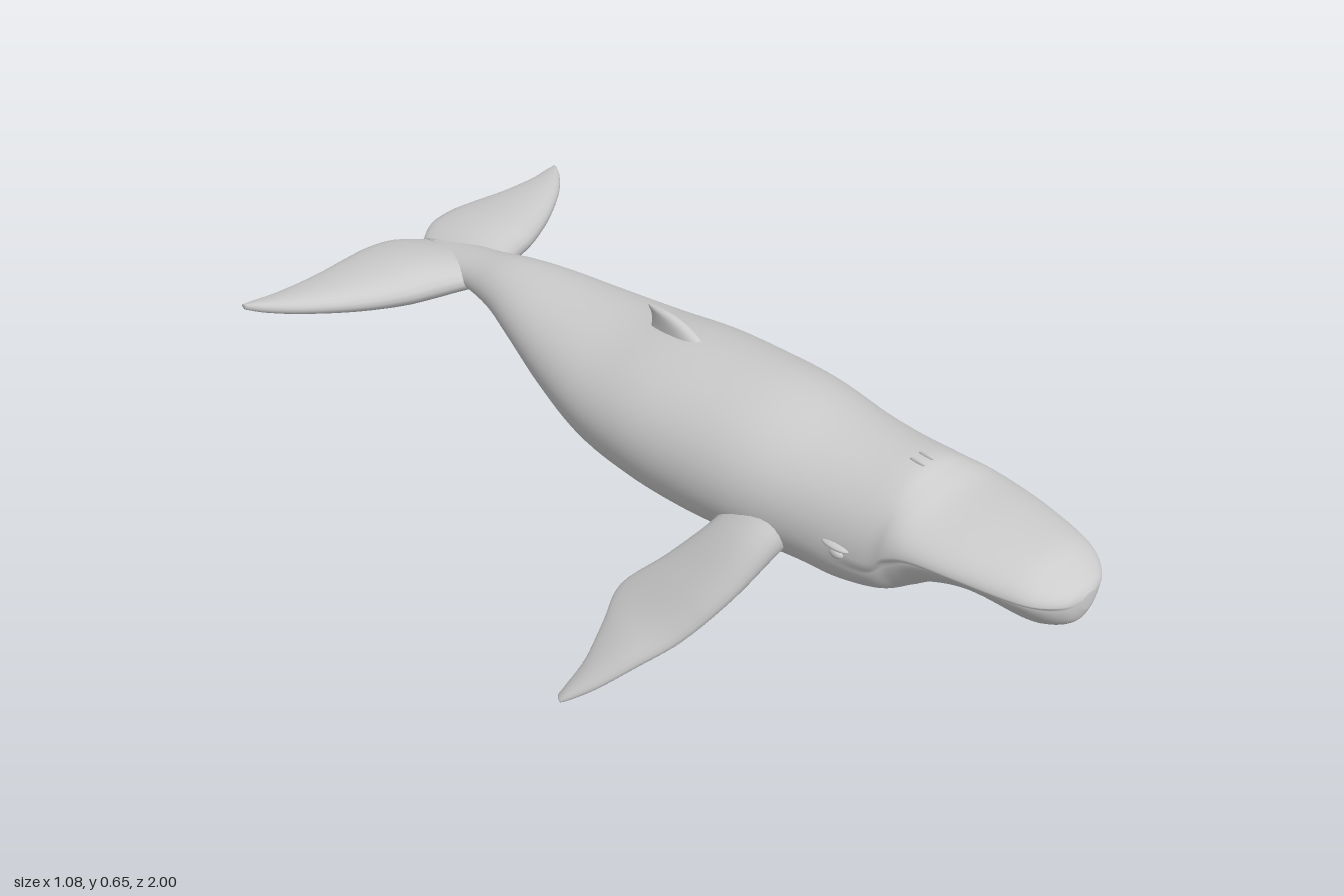
import * as THREE from 'three';

const grey = () => new THREE.MeshStandardMaterial({ color: 0xcccccc });
const V = (x, y, z) => new THREE.Vector3(x, y, z);

// Smoothly subdivide a table of station rows (Catmull-Rom per column)
function refine(rows, steps) {
  const out = [];
  const n = rows.length - 1;
  const cr = (a, b, c, d, t) => b + 0.5 * t * (c - a + t * (2 * a - 5 * b + 4 * c - d + t * (3 * (b - c) + d - a)));
  for (let k = 0; k <= n * steps; k++) {
    const i = Math.min(Math.floor(k / steps), n - 1);
    const t = k / steps - i;
    const [a, b, c, d] = [rows[Math.max(i - 1, 0)], rows[i], rows[i + 1], rows[Math.min(i + 2, n)]];
    out.push(b.map((_, j) => cr(a[j], b[j], c[j], d[j], t)));
  }
  return out;
}

// Skin closed rings into a capped solid, facing outwards
function loft(name, rings) {
  const m = rings[0].length;
  const pts = rings.flat();
  const index = [];
  for (let i = 0; i < rings.length - 1; i++) {
    for (let j = 0; j < m; j++) {
      const a = i * m + j, b = i * m + (j + 1) % m;
      index.push(a, b, a + m, b, b + m, a + m);
    }
  }
  for (const end of [0, rings.length - 1]) {
    const c = V(0, 0, 0);
    rings[end].forEach(p => c.addScaledVector(p, 1 / m));
    const ci = pts.push(c) - 1;
    for (let j = 0; j < m; j++) {
      const a = end * m + j, b = end * m + (j + 1) % m;
      if (end === 0) index.push(ci, b, a); else index.push(ci, a, b);
    }
  }
  let volume = 0;
  const cross = V(0, 0, 0);
  for (let i = 0; i < index.length; i += 3) {
    volume += pts[index[i]].dot(cross.crossVectors(pts[index[i + 1]], pts[index[i + 2]]));
  }
  if (volume < 0) index.reverse();
  const geo = new THREE.BufferGeometry().setFromPoints(pts);
  geo.setIndex(index);
  geo.computeVertexNormals();
  const mesh = new THREE.Mesh(geo, grey());
  mesh.name = name;
  return mesh;
}

// Foil-section blade: rows of leading point, trailing point, thickness
function blade(name, rows, steps = 5, sides = 24) {
  const st = refine(rows, steps);
  const mid = r => V((r[0] + r[3]) / 2, (r[1] + r[4]) / 2, (r[2] + r[5]) / 2);
  const rings = st.map((r, i) => {
    const lead = V(r[0], r[1], r[2]);
    const chord = V(r[3], r[4], r[5]).sub(lead);
    const span = mid(st[Math.min(i + 1, st.length - 1)]).sub(mid(st[Math.max(i - 1, 0)]));
    const normal = chord.clone().cross(span).normalize();
    return Array.from({ length: sides }, (_, k) => {
      const a = k / sides * Math.PI * 2;
      return lead.clone().addScaledVector(chord, (1 - Math.cos(a)) / 2)
        .addScaledVector(normal, r[6] / 2 * Math.sin(a) * (1 + 0.35 * Math.cos(a)));
    });
  });
  return loft(name, rings);
}

function makeBody() {
  // z, top, bottom, half width, height of widest line, lower exponent, lip inset
  const rows = [
    [0.998, 0.492, 0.455, 0.02, 0.482, 1.9, 0.02],
    [0.985, 0.508, 0.422, 0.062, 0.484, 1.8, 0.04],
    [0.95, 0.528, 0.397, 0.102, 0.487, 1.6, 0.06],
    [0.9, 0.547, 0.383, 0.126, 0.491, 1.45, 0.06],
    [0.8, 0.560, 0.398, 0.151, 0.497, 1.4, 0.06],
    [0.7, 0.570, 0.372, 0.168, 0.496, 1.6, 0.06],
    [0.645, 0.588, 0.340, 0.175, 0.475, 1.8, 0.05],
    [0.6, 0.602, 0.318, 0.179, 0.435, 1.95, 0.03],
    [0.5, 0.602, 0.290, 0.184, 0.430, 2, 0],
    [0.4, 0.607, 0.283, 0.192, 0.435, 2, 0],
    [0.25, 0.624, 0.270, 0.213, 0.440, 2, 0],
    [0.1, 0.623, 0.260, 0.222, 0.440, 2, 0],
    [-0.05, 0.614, 0.268, 0.223, 0.445, 2, 0],
    [-0.2, 0.595, 0.295, 0.208, 0.450, 2, 0],
    [-0.35, 0.590, 0.348, 0.172, 0.470, 1.9, 0],
    [-0.5, 0.590, 0.418, 0.126, 0.500, 1.8, 0],
    [-0.6, 0.584, 0.455, 0.093, 0.515, 1.8, 0],
    [-0.7, 0.566, 0.474, 0.070, 0.515, 1.9, 0],
    [-0.8, 0.548, 0.480, 0.062, 0.512, 2, 0],
    [-0.88, 0.532, 0.492, 0.045, 0.512, 2, 0],
    [-0.935, 0.517, 0.507, 0.012, 0.512, 2, 0],
  ];
  const sides = 80;
  return loft('body', refine(rows, 6).map(([z, top, bottom, w, wide, e, lip]) =>
    Array.from({ length: sides }, (_, k) => {
      const a = k / sides * Math.PI * 2;
      const c = Math.cos(a), s = Math.sin(a);
      if (s > -1e-6) return V(w * c, wide + (top - wide) * Math.max(s, 0), z);
      // below the mouth line: a groove, then the inset lower jaw
      const inset = 1 - Math.max(lip, 0) * (1 + Math.exp(-Math.abs(s) * 12));
      const x = w * inset * Math.sign(c) * Math.abs(c) ** (2 / e);
      return V(x, wide - (wide - bottom) * Math.abs(s) ** (2 / e), z);
    })));
}

function ellipsoid(name, radii, position) {
  const mesh = new THREE.Mesh(new THREE.SphereGeometry(1, 20, 14), grey());
  mesh.name = name;
  mesh.scale.set(...radii);
  mesh.position.set(...position);
  return mesh;
}

export function createModel() {
  const whale = new THREE.Group();
  whale.name = 'whale';
  whale.add(makeBody());

  // Back fin, swept backwards with a hooked rear edge
  whale.add(blade('dorsalFin', [
    [0, 0.585, 0.03, 0, 0.585, -0.155, 0.045],
    [0, 0.612, 0.005, 0, 0.612, -0.148, 0.036],
    [0, 0.634, -0.035, 0, 0.634, -0.15, 0.027],
    [0, 0.646, -0.07, 0, 0.646, -0.158, 0.018],
    [0, 0.652, -0.105, 0, 0.650, -0.155, 0.006],
  ]));

  for (const s of [1, -1]) {
    const side = s > 0 ? 'left' : 'right';
    const mirror = rows => rows.map(r => r.map((v, i) => (i === 0 || i === 3 ? v * s : v)));

    // Long flipper reaching down, out and back
    whale.add(blade(side + 'Flipper', mirror([
      [0.12, 0.43, 0.42, 0.13, 0.43, 0.25, 0.10],
      [0.19, 0.375, 0.395, 0.21, 0.385, 0.235, 0.085],
      [0.28, 0.275, 0.35, 0.28, 0.295, 0.165, 0.06],
      [0.36, 0.175, 0.285, 0.34, 0.205, 0.085, 0.048],
      [0.43, 0.11, 0.22, 0.40, 0.14, 0.09, 0.037],
      [0.49, 0.052, 0.16, 0.46, 0.08, 0.097, 0.027],
      [0.528, 0.018, 0.115, 0.508, 0.03, 0.085, 0.018],
      [0.54, 0.008, 0.098, 0.528, 0.012, 0.08, 0.008],
    ])));

    // Half of the tail, meeting its twin at the notch
    whale.add(blade(side + 'Fluke', mirror([
      [0, 0.51, -0.66, 0, 0.512, -0.935, 0.06],
      [0.06, 0.508, -0.695, 0.06, 0.518, -0.978, 0.072],
      [0.13, 0.502, -0.73, 0.13, 0.522, -0.987, 0.08],
      [0.2, 0.500, -0.757, 0.2, 0.522, -0.983, 0.072],
      [0.3, 0.502, -0.81, 0.3, 0.520, -0.975, 0.054],
      [0.4, 0.508, -0.88, 0.4, 0.517, -0.98, 0.036],
      [0.46, 0.511, -0.94, 0.46, 0.515, -0.993, 0.023],
      [0.489, 0.513, -0.982, 0.487, 0.513, -0.999, 0.012],
    ])));

    // Eye with a brow fold behind the corner of the mouth
    whale.add(ellipsoid(side + 'Eye', [0.010, 0.011, 0.018], [s * 0.180, 0.440, 0.535]));
    whale.add(ellipsoid(side + 'Brow', [0.012, 0.007, 0.034], [s * 0.179, 0.455, 0.53]));

    // Blowhole ridge
    whale.add(ellipsoid(side + 'Blowhole', [0.004, 0.006, 0.018], [s * 0.014, 0.602, 0.593]));
  }
  return whale;
}
